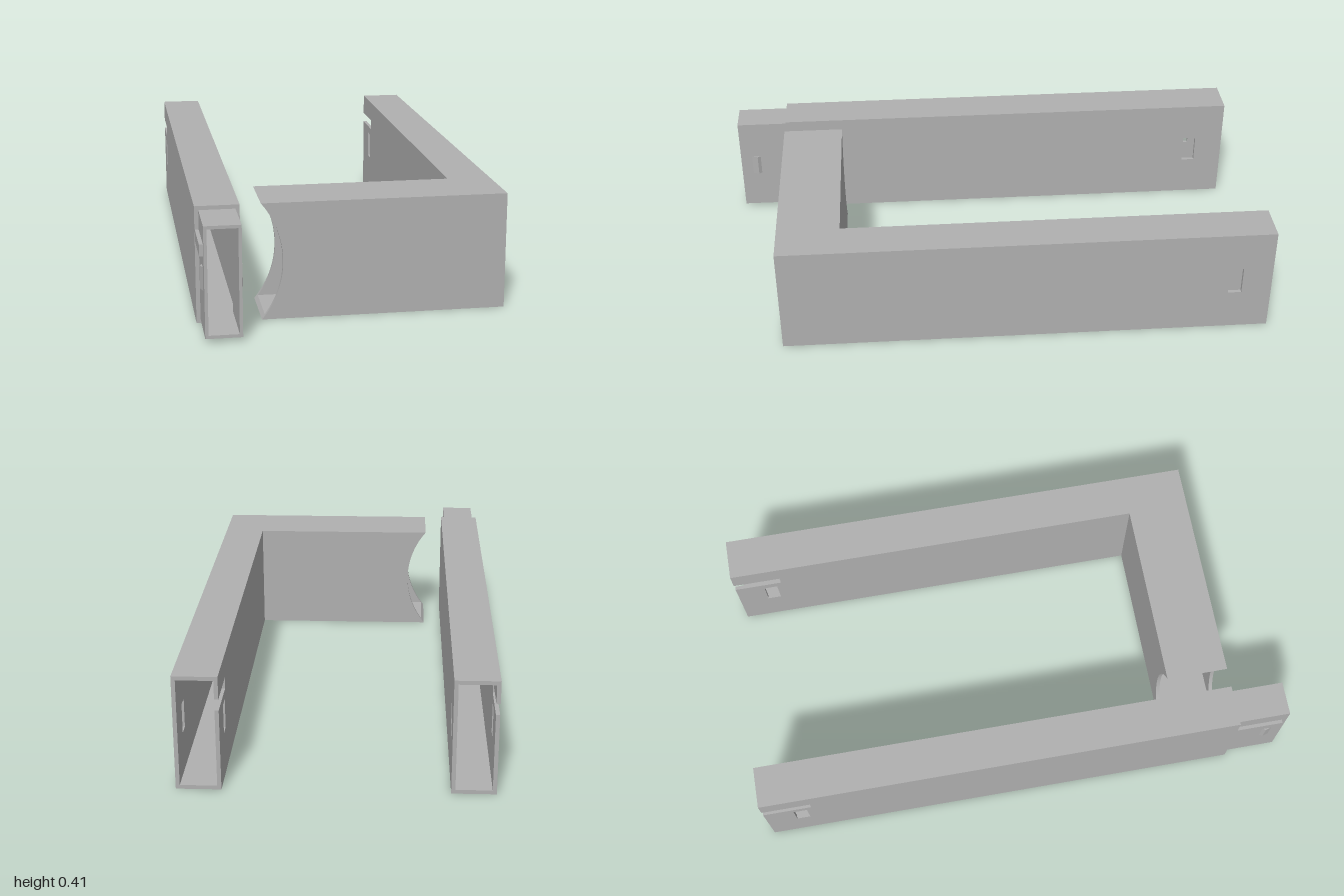
import * as THREE from 'three';

const H = 0.41, T = 0.014;            // overall height and wall thickness
const BACK = -1, FRONT = 0.805;       // ends of the long arms

export function createModel() {
  const grey = new THREE.MeshStandardMaterial({ color: 0xb0b0b0 });
  const model = new THREE.Group();

  const add = (parent, name, geometry) => {
    const mesh = new THREE.Mesh(geometry, grey);
    mesh.name = name;
    parent.add(mesh);
    return mesh;
  };
  const box = (parent, name, x0, x1, y0, y1, z0, z1) => {
    const g = new THREE.BoxGeometry(x1 - x0, y1 - y0, z1 - z0);
    g.translate((x0 + x1) / 2, (y0 + y1) / 2, (z0 + z1) / 2);
    return add(parent, name, g);
  };
  const group = (name) => {
    const g = new THREE.Group();
    g.name = name;
    model.add(g);
    return g;
  };
  const polygon = (pts) => new THREE.Shape(pts.map(([x, y]) => new THREE.Vector2(x, y)));
  const extrude = (shape, depth) =>
    new THREE.ExtrudeGeometry(shape, { depth, bevelEnabled: false, curveSegments: 32 });

  // Long side wall with a latch window and, optionally, a key slot open at the back
  const sideWall = (parent, name, x, zFront, slotted) => {
    const pts = [[-zFront, 0], [-BACK, 0]];
    if (slotted) pts.push([1, 0.29], [0.82, 0.29], [0.82, 0.33], [1, 0.33]);
    pts.push([-BACK, H], [-zFront, H]);
    const shape = polygon(pts);
    shape.holes.push(new THREE.Path([[0.84, 0.155], [0.84, 0.26], [0.89, 0.26], [0.89, 0.155]]
      .map(([u, y]) => new THREE.Vector2(u, y))));
    const g = extrude(shape, T);
    g.rotateY(Math.PI / 2);           // shape x becomes -z, depth becomes x
    g.translate(x, 0, 0);
    add(parent, name, g);
  };

  // Hollow arm, open at the back
  const arm = (parent, x0, x1, innerFront) => {
    sideWall(parent, 'slottedWall', x0, innerFront, true);
    sideWall(parent, 'plainWall', x1 - T, FRONT, false);
    box(parent, 'armTop', x0 + T, x1 - T, H - T, H, BACK, FRONT);
    box(parent, 'armBottom', x0 + T, x1 - T, 0, T, BACK, FRONT);
  };

  // Straight tube
  const tube = group('straightTube');
  arm(tube, -0.537, -0.385, FRONT);

  // Hollow plug at the front of the straight tube
  const plug = group('plug');
  const px0 = -0.523, px1 = -0.399, py0 = 0.014, py1 = 0.396, w = 0.011;
  const ring = polygon([[px0, py0], [px1, py0], [px1, py1], [px0, py1]]);
  ring.holes.push(new THREE.Path([
    [px0 + w, py0 + w], [px0 + w, py1 - w], [px1 - w, py1 - w], [px1 - w, py0 + w],
  ].map(([x, y]) => new THREE.Vector2(x, y))));
  const plugBody = extrude(ring, 0.22);
  plugBody.translate(0, 0, 0.78);
  add(plug, 'plugBody', plugBody);
  box(plug, 'key', -0.536, px0, 0.29, 0.33, FRONT, 0.98);

  // Snap ridges on both sides of the plug
  for (const [x, s] of [[px0, -1], [px1, 1]]) {
    const profile = polygon([[x, -0.92], [x + s * 0.008, -0.932], [x, -0.955]]);
    const g = extrude(profile, 0.08);
    g.rotateX(-Math.PI / 2);          // shape y becomes -z, depth becomes y
    g.translate(0, 0.165, 0);
    add(plug, 'snapRidge', g);
  }

  // L-shaped arm
  const corner = group('cornerFrame');
  const ax0 = 0.383, ax1 = 0.537, z0 = 0.575;
  arm(corner, ax0, ax1, z0 + T);

  // Concave end of the cross piece: circular arc through the corners
  const tip = -0.314, sag = 0.074;
  const R = ((H / 2) ** 2 + sag ** 2) / (2 * sag), cx = tip + sag - R;
  const arcX = (y) => cx + Math.sqrt(R * R - (y - H / 2) ** 2);
  const a = Math.asin(H / 2 / R);

  // Front and back walls of the cross piece
  for (const [name, xr, z] of [['crossFront', ax1 - T, FRONT - T], ['crossBack', ax0, z0]]) {
    const s = new THREE.Shape();
    s.moveTo(xr, 0);
    s.lineTo(xr, H);
    s.lineTo(tip, H);
    s.absarc(cx, H / 2, R, a, -a, true);
    s.closePath();
    const g = extrude(s, T);
    g.translate(0, 0, z);
    add(corner, name, g);
  }

  // Top and bottom of the cross piece, trimmed to the arc
  for (const [name, y0, y1] of [['crossBottom', 0, T], ['crossTop', H - T, H]]) {
    const g = extrude(polygon([[arcX(y0), y0], [ax0 + T, y0], [ax0 + T, y1], [arcX(y1), y1]]),
      FRONT - z0 - 2 * T);
    g.translate(0, 0, z0 + T);
    add(corner, name, g);
  }

  return model;
}
